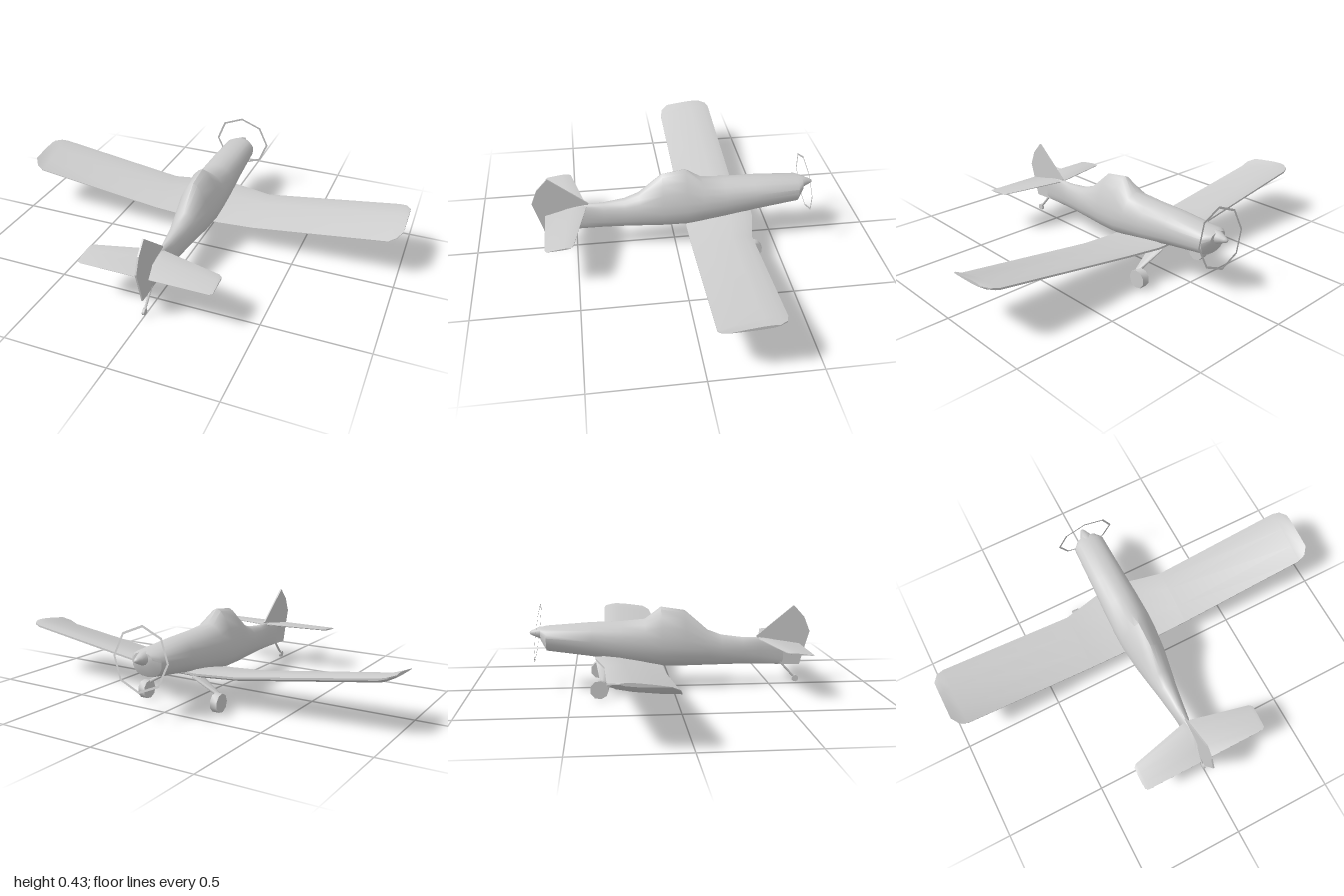
import * as THREE from 'three';
import { toCreasedNormals } from 'three/addons/utils/BufferGeometryUtils.js';

const grey = new THREE.MeshStandardMaterial({ color: 0xcccccc });
const thin = new THREE.MeshStandardMaterial({ color: 0xcccccc, side: THREE.DoubleSide });

function add(parent, name, geometry, material = grey) {
  const mesh = new THREE.Mesh(geometry, material);
  mesh.name = name;
  parent.add(mesh);
  return mesh;
}

// Skins a row of rings (each counterclockwise about the travel direction) and caps both ends.
function loft(rings, crease) {
  const n = rings[0].length, last = rings.length - 1;
  const points = rings.flat(), index = [];
  for (let i = 0; i < last; i++) {
    for (let j = 0; j < n; j++) {
      const a = i * n + j, b = i * n + (j + 1) % n;
      index.push(a, b, b + n, a, b + n, a + n);
    }
  }
  for (const end of [0, last]) {
    const centre = new THREE.Vector3();
    rings[end].forEach(p => centre.addScaledVector(p, 1 / n));
    const c = points.push(centre) - 1;
    for (let j = 0; j < n; j++) {
      const a = end * n + j, b = end * n + (j + 1) % n;
      if (end) index.push(c, a, b); else index.push(c, b, a);
    }
  }
  const g = new THREE.BufferGeometry().setFromPoints(points);
  g.setIndex(index);
  return toCreasedNormals(g, crease);
}

// Aerofoil surface from sections [x, zLead, zTrail, yLead, yTrail, thickness], sorted along x.
function foil(sections) {
  const profile = [[0.12, 0.42], [0.35, 0.5], [0.7, 0.32], [1, 0.06], [1, -0.06],
    [0.7, -0.3], [0.35, -0.45], [0.12, -0.4], [0, -0.12], [0, 0.12]];
  const rings = sections.map(([x, zl, zt, yl, yt, t]) => profile.map(([c, h]) =>
    new THREE.Vector3(x, yl + (yt - yl) * c + h * t, zl + (zt - zl) * c)));
  return loft(rings, 0.6);
}

const mirrored = s => [...s.filter(r => r[0] > 0).map(r => [-r[0], ...r.slice(1)]).reverse(), ...s];

function fuselage() {
  // z, bottom, top, half width, height of widest point, top roundness
  const stations = [
    [-0.648, 0.25, 0.312, 0.05, 0.285, 2.2],
    [-0.62, 0.198, 0.318, 0.08, 0.27, 2.2],
    [-0.4, 0.166, 0.333, 0.088, 0.25, 2.2],
    [-0.25, 0.137, 0.337, 0.095, 0.235, 2.1],
    [-0.135, 0.122, 0.347, 0.098, 0.225, 2],
    [-0.055, 0.11, 0.407, 0.096, 0.215, 1.6],
    [0.065, 0.108, 0.388, 0.084, 0.205, 1.6],
    [0.18, 0.108, 0.287, 0.064, 0.195, 1.9],
    [0.25, 0.108, 0.26, 0.051, 0.185, 2],
    [0.36, 0.108, 0.245, 0.035, 0.18, 2],
    [0.45, 0.105, 0.245, 0.021, 0.18, 2],
    [0.57, 0.101, 0.23, 0.005, 0.17, 2]];
  const n = 20;
  const power = (v, e) => Math.sign(v) * Math.abs(v) ** (2 / e);
  return loft(stations.map(([z, bottom, top, w, mid, round]) =>
    Array.from({ length: n }, (_, i) => {
      const a = i / n * Math.PI * 2, s = Math.sin(a);
      const e = s > 0 ? round : 2.5;
      const h = s > 0 ? top - mid : mid - bottom;
      return new THREE.Vector3(w * power(Math.cos(a), e), mid + h * power(s, e), z);
    })), 0.75);
}

export function createModel() {
  const plane = new THREE.Group();
  plane.name = 'airplane';

  add(plane, 'fuselage', fuselage());

  // Main wing, flat in the middle and rising to rounded tips
  add(plane, 'wing', foil(mirrored([
    [0, -0.385, -0.05, 0.165, 0.117, 0.042],
    [0.09, -0.38, -0.05, 0.162, 0.117, 0.042],
    [0.27, -0.34, -0.05, 0.163, 0.128, 0.04],
    [0.94, -0.332, -0.045, 0.26, 0.216, 0.038],
    [0.975, -0.32, -0.055, 0.268, 0.238, 0.028],
    [1, -0.285, -0.09, 0.274, 0.258, 0.016]])));

  // Tailplane, notched at the rudder
  add(plane, 'tailplane', foil(mirrored([
    [0, 0.44, 0.54, 0.234, 0.224, 0.016],
    [0.008, 0.44, 0.56, 0.234, 0.222, 0.016],
    [0.03, 0.446, 0.645, 0.234, 0.213, 0.016],
    [0.31, 0.511, 0.645, 0.228, 0.213, 0.013],
    [0.325, 0.525, 0.635, 0.226, 0.214, 0.008]])));

  // Fin and rudder
  const outline = [[0.43, 0.25], [0.62, 0.405], [0.675, 0.345], [0.705, 0.27],
    [0.685, 0.205], [0.655, 0.098], [0.5, 0.105]];
  const fin = new THREE.ExtrudeGeometry(
    new THREE.Shape(outline.map(([z, y]) => new THREE.Vector2(-z, y))),
    { depth: 0.008, bevelEnabled: false });
  add(plane, 'finAndRudder', fin.translate(0, 0, -0.004).rotateY(Math.PI / 2));

  // Spinner
  const spinner = new THREE.LatheGeometry([[0.031, 0], [0.029, 0.025], [0.02, 0.045],
    [0.013, 0.06], [0.008, 0.07], [0, 0.073]].map(p => new THREE.Vector2(...p)), 12);
  add(plane, 'spinner', spinner.rotateX(-Math.PI / 2), thin).position.set(0, 0.286, -0.63);

  // Flat eight-sided ring around the propeller sweep
  const ring = add(plane, 'propellerRing', new THREE.RingGeometry(0.139, 0.15, 8, 1), thin);
  ring.position.set(0, 0.285, -0.664);
  ring.rotation.x = 0.127;

  // Main landing gear
  for (const side of [-1, 1]) {
    const gear = new THREE.Group();
    gear.name = side > 0 ? 'leftGear' : 'rightGear';
    plane.add(gear);
    const leg = [[0.07, -0.38, -0.305, 0.148, 0.148, 0.022], [0.2, -0.36, -0.335, 0.075, 0.075, 0.02]]
      .map(([x, ...rest]) => [x * side, ...rest]).sort((a, b) => a[0] - b[0]);
    add(gear, 'gearLeg', foil(leg));
    const tyre = new THREE.CylinderGeometry(0.045, 0.045, 0.036, 9);
    const wheel = add(gear, 'wheel', toCreasedNormals(tyre.rotateZ(Math.PI / 2), 0.8));
    wheel.position.set(side * 0.204, 0.044, -0.365);
  }

  // Tail wheel on a slanted strut
  const strut = new THREE.LineCurve3(new THREE.Vector3(0, 0.115, 0.555), new THREE.Vector3(0, 0.026, 0.637));
  add(plane, 'tailStrut', new THREE.TubeGeometry(strut, 1, 0.006, 6), thin);
  const tailWheel = new THREE.CylinderGeometry(0.017, 0.017, 0.012, 9);
  add(plane, 'tailWheel', tailWheel.rotateZ(Math.PI / 2)).position.set(0, 0.025, 0.637);

  return plane;
}
